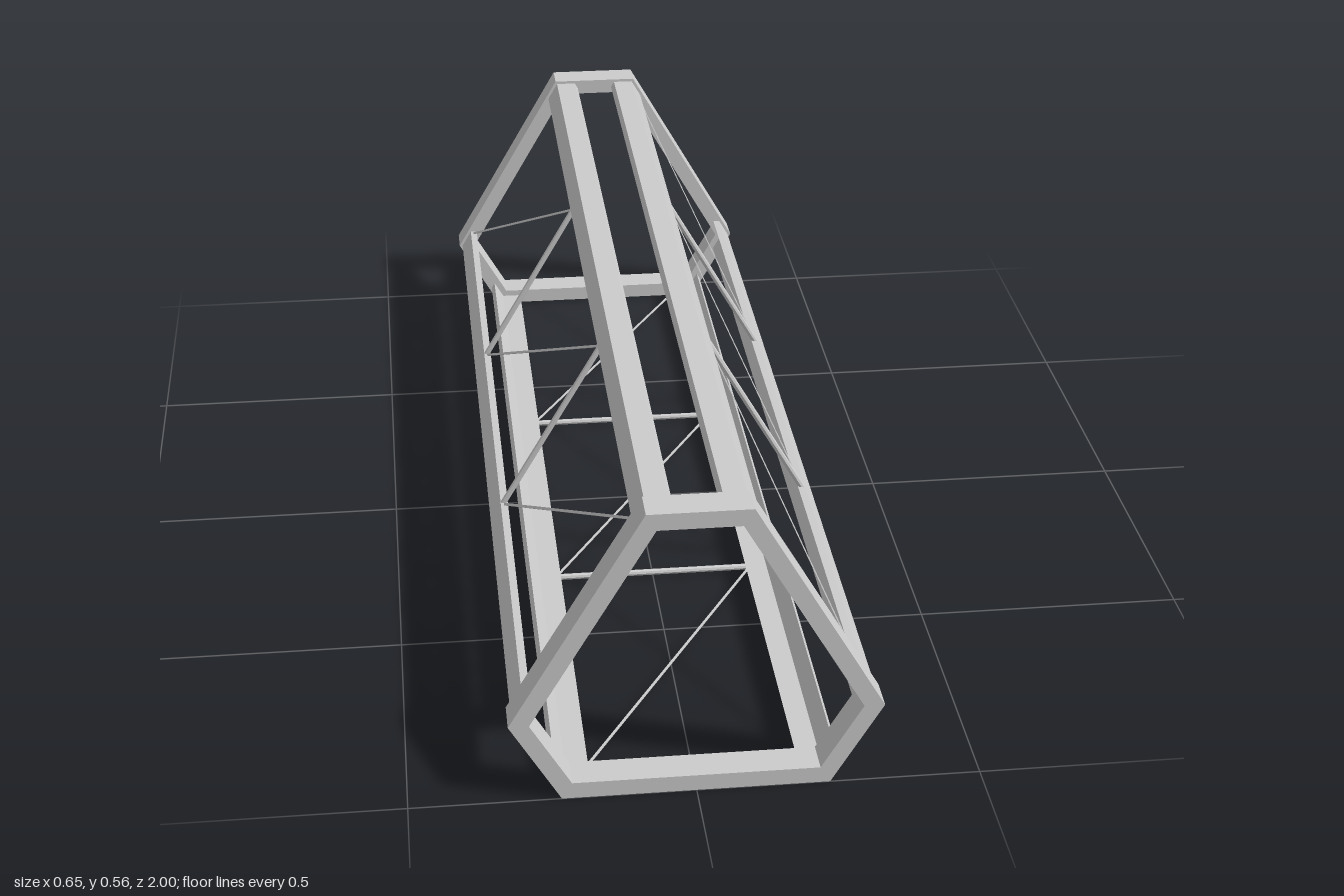
import * as THREE from 'three';

const material = new THREE.MeshStandardMaterial({ color: 0xcccccc, flatShading: true });
const SHORT = 0.18, LONG = 0.469, RISE = Math.sqrt(3) / 2;
const FRAME_Z = 0.94, BAY_Z = [-0.94, -0.313, 0.313, 0.94];
const LEG = 0.041, LEG_T = 0.012, INSET = 0.006;

// Hexagon corners, clockwise from the top left; sides alternate short and long
const hexagon = [
  [-SHORT / 2, RISE * (SHORT + LONG)], [SHORT / 2, RISE * (SHORT + LONG)],
  [(SHORT + LONG) / 2, RISE * SHORT], [LONG / 2, 0],
  [-LONG / 2, 0], [-(SHORT + LONG) / 2, RISE * SHORT],
].map(([x, y]) => new THREE.Vector2(x, y));

// Unit direction from corner i towards corner j
const towards = (i, j) => hexagon[(j + 6) % 6].clone().sub(hexagon[(i + 6) % 6]).normalize();

// Corner i moved inward so both its sides shift by d (every corner is 120 degrees)
function insetCorner(i, d) {
  return hexagon[i].clone()
    .addScaledVector(towards(i, i + 1), d / RISE)
    .addScaledVector(towards(i, i - 1), d / RISE);
}

function extrude(shape, z0, z1, name) {
  const geometry = new THREE.ExtrudeGeometry(shape, { depth: z1 - z0, bevelEnabled: false });
  geometry.translate(0, 0, z0);
  const mesh = new THREE.Mesh(geometry, material);
  mesh.name = name;
  return mesh;
}

// Lays a mesh modelled along z between two points, its y axis along the normal
function span(geometry, a, b, normal, name) {
  const mesh = new THREE.Mesh(geometry, material);
  const zAxis = b.clone().sub(a).normalize();
  const xAxis = new THREE.Vector3().crossVectors(normal, zAxis);
  mesh.quaternion.setFromRotationMatrix(new THREE.Matrix4().makeBasis(xAxis, normal, zAxis));
  mesh.position.copy(a).add(b).multiplyScalar(0.5);
  mesh.name = name;
  return mesh;
}

export function createModel() {
  const group = new THREE.Group();
  group.name = 'trussSection';

  // End frames; the hole runs opposite to the outline
  const frame = new THREE.Shape(hexagon);
  frame.holes.push(new THREE.Path(hexagon.map((_, i) => insetCorner(i, 0.0312)).reverse()));
  group.add(extrude(frame, FRAME_Z, 1, 'frontFrame'), extrude(frame, -1, -FRAME_Z, 'backFrame'));

  // Folded angle longerons along each corner
  for (let i = 0; i < 6; i++) {
    const outer = insetCorner(i, INSET), inner = insetCorner(i, INSET + LEG_T);
    const next = towards(i, i + 1), prev = towards(i, i - 1);
    const profile = new THREE.Shape([
      outer,
      outer.clone().addScaledVector(next, LEG),
      inner.clone().addScaledVector(next, LEG),
      inner,
      inner.clone().addScaledVector(prev, LEG),
      outer.clone().addScaledVector(prev, LEG),
    ]);
    group.add(extrude(profile, -FRAME_Z, FRAME_Z, 'longeron'));
  }

  // Round cross bars and flat diagonal straps on the three wide sides
  for (const i of [1, 3, 5]) {
    const j = (i + 1) % 6, along = towards(i, j);
    const normal = new THREE.Vector3(-along.y, along.x, 0);
    const depth = INSET + LEG_T / 2;
    const start = insetCorner(i, depth).addScaledVector(along, LEG - 0.006);
    const end = insetCorner(j, depth).addScaledVector(along, 0.006 - LEG);
    const at = (p, z) => new THREE.Vector3(p.x, p.y, z);
    const width = start.distanceTo(end);
    for (const z of BAY_Z.slice(1, 3)) {
      const tube = new THREE.CylinderGeometry(0.006, 0.006, width, 8).rotateX(Math.PI / 2);
      group.add(span(tube, at(start, z), at(end, z), normal, 'crossBar'));
    }
    for (let k = 0; k < 3; k++) {
      const a = at(start, BAY_Z[k]), b = at(end, BAY_Z[k + 1]);
      const strap = new THREE.BoxGeometry(0.005, 0.0015, a.distanceTo(b));
      group.add(span(strap, a, b, normal, 'diagonalStrap'));
    }
  }
  return group;
}
